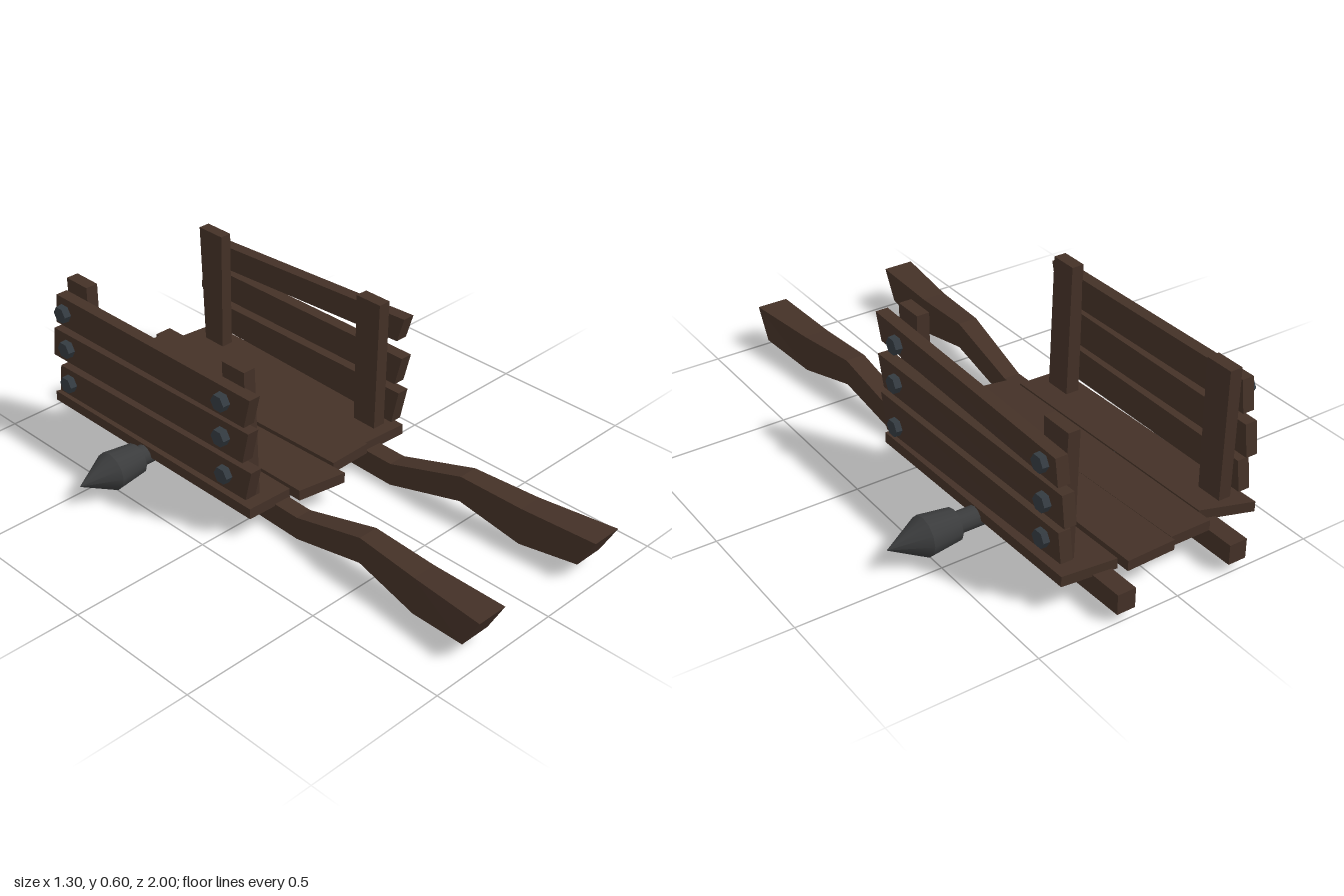
import * as THREE from 'three';

const wood = new THREE.MeshStandardMaterial({ color: 0x443127 });
wood.name = 'dark wood';
const iron = new THREE.MeshStandardMaterial({ color: 0x3b3c3d });
iron.name = 'dark iron';
const bolt = new THREE.MeshStandardMaterial({ color: 0x343b41 });
bolt.name = 'bolt steel';

// Faceted solid through a row of four-cornered rings, closed at both ends
function loft(rings) {
  const pos = [];
  const quad = (a, b, c, d) => pos.push(...a, ...b, ...c, ...a, ...c, ...d);
  for (let r = 0; r < rings.length - 1; r++) {
    for (let i = 0; i < 4; i++) {
      const j = (i + 1) % 4;
      quad(rings[r][i], rings[r][j], rings[r + 1][j], rings[r + 1][i]);
    }
  }
  const first = rings[0], last = rings[rings.length - 1];
  quad(first[3], first[2], first[1], first[0]);
  quad(last[0], last[1], last[2], last[3]);
  const g = new THREE.BufferGeometry();
  g.setAttribute('position', new THREE.Float32BufferAttribute(pos, 3));
  g.computeVertexNormals();
  return g;
}

// Upright section for beams along z; zb and zt are the z of its bottom and top
const slice = (x0, x1, y0, y1, zb, zt = zb) =>
  [[x0, y0, zb], [x1, y0, zb], [x1, y1, zt], [x0, y1, zt]];
// Level section for posts along y
const level = (x0, x1, z0, z1, y) =>
  [[x0, y, z1], [x1, y, z1], [x1, y, z0], [x0, y, z0]];

export function createModel() {
  const model = new THREE.Group();
  model.name = 'handcart';
  const add = (name, geometry, material, parent = model) => {
    const m = new THREE.Mesh(geometry, material);
    m.name = name;
    parent.add(m);
    return m;
  };

  // Curved pull shafts running under the whole bed
  add('rightShaft', loft([
    slice(-0.26, -0.195, 0.04, 0.11, -1),
    slice(-0.265, -0.205, 0.01, 0.093, 0.19),
    slice(-0.28, -0.207, 0.08, 0.175, 0.48),
    slice(-0.298, -0.21, 0.03, 0.165, 0.72),
    slice(-0.328, -0.215, 0.06, 0.17, 0.94, 1),
  ]), wood);
  add('leftShaft', loft([
    slice(0.16, 0.225, 0.04, 0.11, -1),
    slice(0.168, 0.235, 0.01, 0.093, 0.19),
    slice(0.185, 0.255, 0.08, 0.175, 0.48),
    slice(0.197, 0.285, 0.03, 0.165, 0.72),
    slice(0.21, 0.322, 0.06, 0.17, 0.94, 1),
  ]), wood);

  // Uneven floor planks: back x0, x1, z0, z1, then front x0, x1, z0, z1, then top y
  const planks = [
    [-0.38, -0.207, -0.9, -0.84, -0.37, -0.2, 0.085, 0.09, 0.125],
    [-0.2, -0.05, -0.9, -0.9, -0.19, -0.013, 0.125, 0.155, 0.128],
    [-0.042, 0.135, -0.925, -0.93, -0.008, 0.155, 0.098, 0.095, 0.136],
    [0.142, 0.33, -0.89, -0.87, 0.163, 0.34, 0.075, 0.085, 0.124],
  ];
  const floor = new THREE.Group();
  floor.name = 'floor';
  model.add(floor);
  for (const [a0, a1, az0, az1, b0, b1, bz0, bz1, y] of planks) {
    const back = slice(a0, a1, y - 0.022, y + 0.014, 0);
    const front = slice(b0, b1, y - 0.038, y, 0);
    back.forEach((p, i) => { p[2] = i === 1 || i === 2 ? az1 : az0; });
    front.forEach((p, i) => { p[2] = i === 1 || i === 2 ? bz1 : bz0; });
    add('floorPlank', loft([back, front]), wood, floor);
  }

  // Side fences: posts, rails [back y0, y1, z, front y0, y1, z], bolts [x, y, z]
  const fences = [
    {
      name: 'leftFence', dir: 1,
      posts: [
        [level(0.25, 0.3, -0.06, 0.035, 0.1), level(0.25, 0.295, -0.055, 0.05, 0.605)],
        [level(0.245, 0.29, -0.815, -0.725, 0.1), level(0.243, 0.285, -0.825, -0.71, 0.585)],
      ],
      railX: [0.287, 0.33, 0.298, 0.342],
      rails: [
        [0.18, 0.28, -0.865, 0.145, 0.272, 0.09],
        [0.31, 0.415, -0.878, 0.3, 0.41, 0.1],
        [0.43, 0.52, -0.843, 0.468, 0.56, 0.105],
      ],
      bolts: [
        [0.34, 0.19, 0.005], [0.342, 0.355, 0], [0.342, 0.5, -0.01],
        [0.33, 0.228, -0.782], [0.332, 0.355, -0.785], [0.33, 0.48, -0.77],
      ],
    },
    {
      name: 'rightFence', dir: -1,
      posts: [
        [level(-0.335, -0.285, -0.06, 0.04, 0.1), level(-0.345, -0.3, -0.055, 0.045, 0.6)],
        [level(-0.335, -0.29, -0.835, -0.74, 0.1), level(-0.34, -0.295, -0.835, -0.73, 0.595)],
      ],
      railX: [-0.388, -0.345, -0.383, -0.34],
      rails: [
        [0.165, 0.27, -0.86, 0.165, 0.28, 0.1],
        [0.3, 0.41, -0.88, 0.3, 0.42, 0.09],
        [0.44, 0.55, -0.85, 0.435, 0.545, 0.1],
      ],
      bolts: [
        [-0.385, 0.225, -0.01], [-0.388, 0.365, -0.015], [-0.388, 0.495, -0.01],
        [-0.39, 0.22, -0.795], [-0.39, 0.36, -0.79], [-0.39, 0.495, -0.795],
      ],
    },
  ];
  for (const f of fences) {
    const fence = new THREE.Group();
    fence.name = f.name;
    model.add(fence);
    for (const rings of f.posts) add('post', loft(rings), wood, fence);
    const [a0, a1, b0, b1] = f.railX;
    for (const [y0, y1, z0, fy0, fy1, z1] of f.rails) {
      add('sideRail', loft([
        slice(a0, a1, y0, y1, z0, z0 + 0.015),
        slice(b0, b1, fy0, fy1, z1 - 0.02, z1 + 0.01),
      ]), wood, fence);
    }
    // Six-sided bolt heads on the outer face
    for (const [x, y, z] of f.bolts) {
      const g = new THREE.CylinderGeometry(0.03, 0.033, 0.045, 6).toNonIndexed();
      g.computeVertexNormals();
      g.rotateZ(-f.dir * Math.PI / 2);
      add('bolt', g, bolt, fence).position.set(x, y, z);
    }
  }

  // Iron axle with pointed hubs
  const axle = new THREE.Group();
  axle.name = 'axle';
  axle.position.set(0, 0.093, -0.43);
  model.add(axle);
  const bar = new THREE.CylinderGeometry(0.036, 0.036, 0.84, 12);
  bar.rotateZ(Math.PI / 2);
  add('axleBar', bar, iron, axle);
  const profile = [[0, 0.41], [0.055, 0.41], [0.055, 0.41], [0.068, 0.52], [0.068, 0.52], [0, 0.648]];
  for (const side of [-1, 1]) {
    const hub = new THREE.LatheGeometry(profile.map(([r, y]) => new THREE.Vector2(r, y)), 12);
    hub.rotateZ(-side * Math.PI / 2);
    add('pointedHub', hub, iron, axle);
  }
  return model;
}
